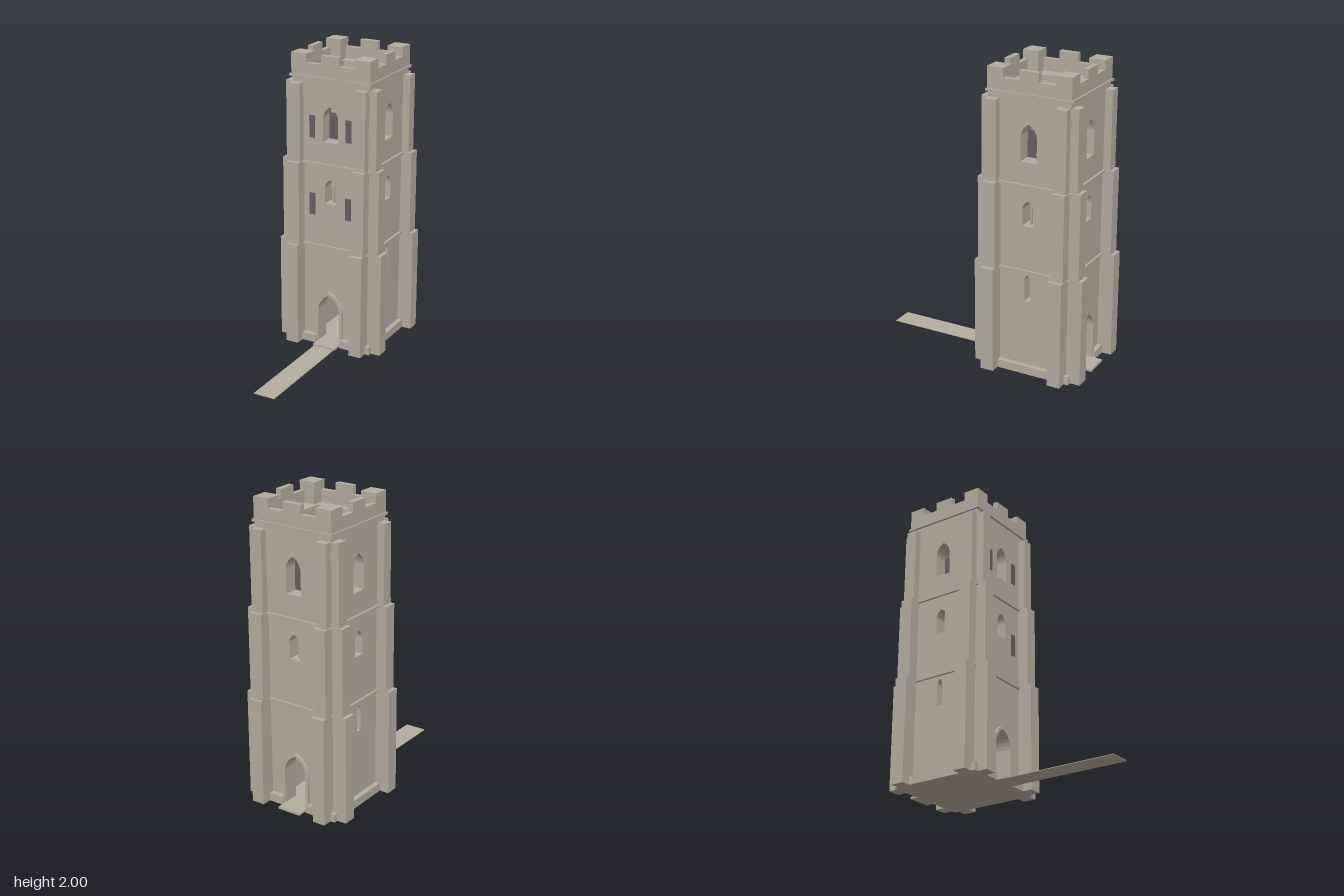
import * as THREE from 'three';

export function createModel() {
  const model = new THREE.Group();
  const tower = new THREE.Group();
  tower.name = 'tower';
  tower.position.z = -0.38;
  model.add(tower);

  const stone = new THREE.MeshStandardMaterial({ color: 0xb4ad9f });
  stone.name = 'stone';
  const dark = new THREE.MeshStandardMaterial({ color: 0x636260 });
  dark.name = 'darkLouvre';

  function add(name, geometry, material = stone, parent = tower) {
    const mesh = new THREE.Mesh(geometry, material);
    mesh.name = name;
    parent.add(mesh);
    return mesh;
  }

  // Box given by its limits on each axis
  function block(name, x0, x1, y0, y1, z0, z1, material = stone, parent = tower) {
    const mesh = add(name, new THREE.BoxGeometry(x1 - x0, y1 - y0, z1 - z0), material, parent);
    mesh.position.set((x0 + x1) / 2, (y0 + y1) / 2, (z0 + z1) / 2);
    return mesh;
  }

  function rectangle(shape, w, y0, y1) {
    shape.moveTo(-w, y0).lineTo(w, y0).lineTo(w, y1).lineTo(-w, y1).closePath();
    return shape;
  }

  // Pointed arch outline
  function arch(path, w, y0, spring, apex) {
    const bend = spring + (apex - spring) * 0.68;
    path.moveTo(-w, y0).lineTo(w, y0).lineTo(w, spring);
    path.quadraticCurveTo(w * 0.88, bend, 0, apex);
    path.quadraticCurveTo(-w * 0.88, bend, -w, spring);
    path.closePath();
    return path;
  }

  const extrude = (shape, depth) =>
    new THREE.ExtrudeGeometry(shape, { depth, bevelEnabled: false, curveSegments: 6 });

  // Square ring running round the tower
  function ring(name, outer, inner, y0, y1) {
    const shape = rectangle(new THREE.Shape(), outer, -outer, outer);
    shape.holes.push(rectangle(new THREE.Path(), inner, -inner, inner));
    const geometry = extrude(shape, y1 - y0);
    geometry.rotateX(-Math.PI / 2);
    add(name, geometry).position.y = y0;
  }

  const BODY = 0.28;
  const belfryWindow = [0.055, 1.43, 1.59, 1.67];
  const middleWindow = [0.04, 1.01, 1.12, 1.175];
  const door = [0.08, 0.015, 0.25, 0.36];
  const lancet = [0.02, 0.5, 0.64, 0.68];

  // Four walls, each built facing +z in its own turned group
  ['front', 'left', 'back', 'right'].forEach((side, i) => {
    const group = new THREE.Group();
    group.name = side + 'Side';
    group.rotation.y = i * Math.PI / 2;
    tower.add(group);
    const hasDoor = i % 2 === 0;
    const inner = hasDoor ? 0.19 : 0.155;

    const wall = rectangle(new THREE.Shape(), hasDoor ? BODY : 0.19, 0, 1.86);
    for (const hole of [belfryWindow, middleWindow, hasDoor ? door : lancet]) {
      wall.holes.push(arch(new THREE.Path(), ...hole));
    }
    add('wall', extrude(wall, BODY - inner), stone, group).position.z = inner;

    // Window fittings
    if (hasDoor) block('belfryLouvre', -0.1, 0.1, 1.42, 1.605, 0.182, 0.19, dark, group);
    else block('belfryLouvre', -0.055, 0.055, 1.43, 1.605, 0.18, 0.188, dark, group);
    block('mullion', -0.005, 0.005, 1.01, 1.172, 0.22, 0.24, stone, group);

    // Stepped buttresses near both corners
    for (const s of [-1, 1]) {
      for (const [a, b, out, y0, y1] of [
        [0.195, 0.284, 0.38, 0, 0.715],
        [0.195, 0.282, 0.355, 0.715, 1.285],
        [0.2, 0.276, 0.33, 1.285, 1.81],
      ]) {
        block('buttress', Math.min(s * a, s * b), Math.max(s * a, s * b), y0, y1, 0.25, out, stone, group);
      }
    }

    // Plinth, interrupted at the doors
    if (hasDoor) {
      block('plinth', -0.315, -0.09, 0, 0.055, 0.27, 0.315, stone, group);
      block('plinth', 0.09, 0.315, 0, 0.055, 0.27, 0.315, stone, group);
      const surround = arch(new THREE.Shape(), 0.1, 0, 0.25, 0.382);
      surround.holes.push(arch(new THREE.Path(), ...door));
      add('doorSurround', extrude(surround, 0.02), stone, group).position.z = BODY;
      block('doorStep', -0.082, 0.082, 0, 0.015, 0.27, 0.37, stone, group);
    } else {
      block('plinth', -0.315, 0.315, 0, 0.055, 0.27, 0.315, stone, group);
    }

    block('middleMerlon', -0.065, 0.065, 1.94, 2, 0.25, 0.285, stone, group);
    block('cornerMerlon', 0.175, 0.285, 1.86, 2, 0.175, 0.285, stone, group);
  });

  // String courses, cornice and parapet
  ring('lowerStringCourse', 0.295, 0.27, 0.7, 0.715);
  ring('upperStringCourse', 0.295, 0.27, 1.27, 1.285);
  ring('cornice', 0.295, 0.27, 1.845, 1.86);
  ring('parapet', 0.285, 0.25, 1.86, 1.94);

  block('floor', -0.28, 0.28, 0, 0.015, -0.28, 0.28);

  // Dark slits on the front face
  for (const x of [-0.133, 0.133]) {
    for (const y of [0.92, 1.45]) {
      block('slit', x - 0.021, x + 0.021, y, y + 0.15, 0.279, 0.284, dark);
    }
  }

  block('path', -0.075, 0.075, 0, 0.004, -0.02, 0.76, stone, model);
  return model;
}
